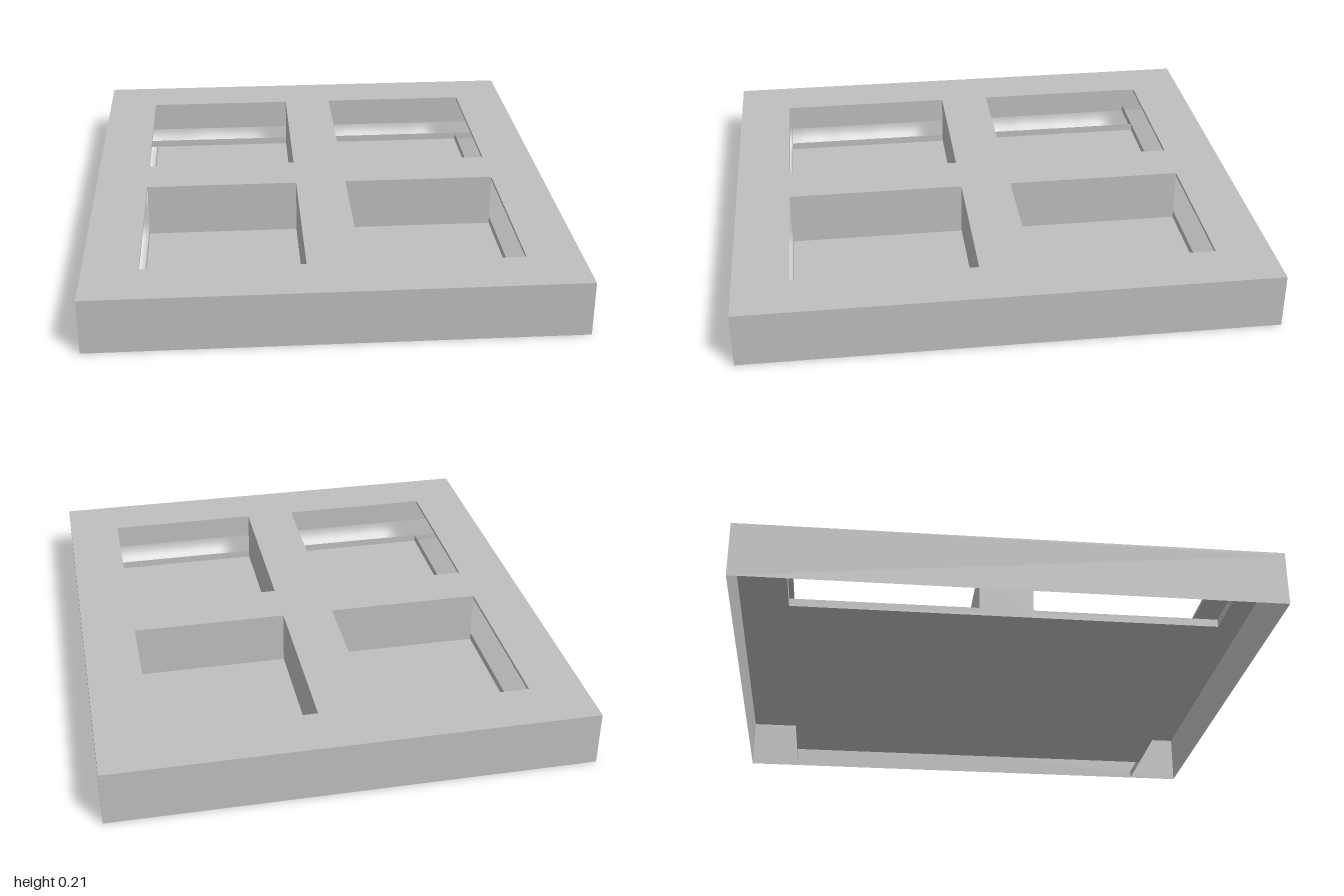
import * as THREE from 'three';

const W = 0.905, D = 1, H = 0.21;       // outer half width, half depth, height
const HX = 0.7, HZ = 0.79, B = 0.1;     // opening limits and half width of the cross beams
const TOP = 0.012, RIM = 0.03;          // lid thickness, tray rim height

export function createModel() {
  const group = new THREE.Group();
  const grey = new THREE.MeshStandardMaterial({ color: 0xbfbfbf, side: THREE.DoubleSide });
  grey.name = 'plain grey';

  const add = (name, geometry, x = 0, y = 0, z = 0) => {
    const mesh = new THREE.Mesh(geometry, grey);
    mesh.name = name;
    mesh.position.set(x, y, z);
    group.add(mesh);
  };
  const polygon = (pts) => pts.map(([x, y]) => new THREE.Vector2(x, y));
  const slab = (shape, depth) =>
    new THREE.ExtrudeGeometry(shape, { depth, bevelEnabled: false }).rotateX(-Math.PI / 2);

  // Lid with four rectangular openings
  const lid = new THREE.Shape(polygon([[-W, -D], [W, -D], [W, D], [-W, D]]));
  for (const sx of [-1, 1]) {
    for (const sz of [-1, 1]) {
      lid.holes.push(new THREE.Path(polygon([
        [sx * B, sz * B], [sx * B, sz * HZ], [sx * HX, sz * HZ], [sx * HX, sz * B],
      ])));
    }
  }
  add('lid', slab(lid, TOP), 0, H - TOP);

  // Cross-shaped divider between the openings
  const cross = new THREE.Shape(polygon([
    [-B, -HZ], [B, -HZ], [B, -B], [HX, -B], [HX, B], [B, B],
    [B, HZ], [-B, HZ], [-B, B], [-HX, B], [-HX, -B], [-B, -B],
  ]));
  add('crossDivider', slab(cross, H - TOP));

  // Tray floor, open to the outer skirt all around
  add('trayFloor', new THREE.PlaneGeometry(2 * HX, 2 * HZ).rotateX(-Math.PI / 2));

  // Thin outer skirt and low tray rims; the front and back rims reach the skirt
  const wallH = H - TOP;
  for (const s of [-1, 1]) {
    const turn = s * Math.PI / 2;
    const flip = s > 0 ? 0 : Math.PI;
    add(s > 0 ? 'frontSkirt' : 'backSkirt',
      new THREE.PlaneGeometry(2 * W, wallH).rotateY(flip), 0, wallH / 2, s * D);
    add(s > 0 ? 'leftSkirt' : 'rightSkirt',
      new THREE.PlaneGeometry(2 * D, wallH).rotateY(turn), s * W, wallH / 2, 0);
    add(s > 0 ? 'frontRim' : 'backRim',
      new THREE.PlaneGeometry(2 * W, RIM).rotateY(flip), 0, RIM / 2, s * HZ);
    add(s > 0 ? 'leftRim' : 'rightRim',
      new THREE.PlaneGeometry(2 * HZ, RIM).rotateY(turn), s * HX, RIM / 2, 0);
  }
  return group;
}
